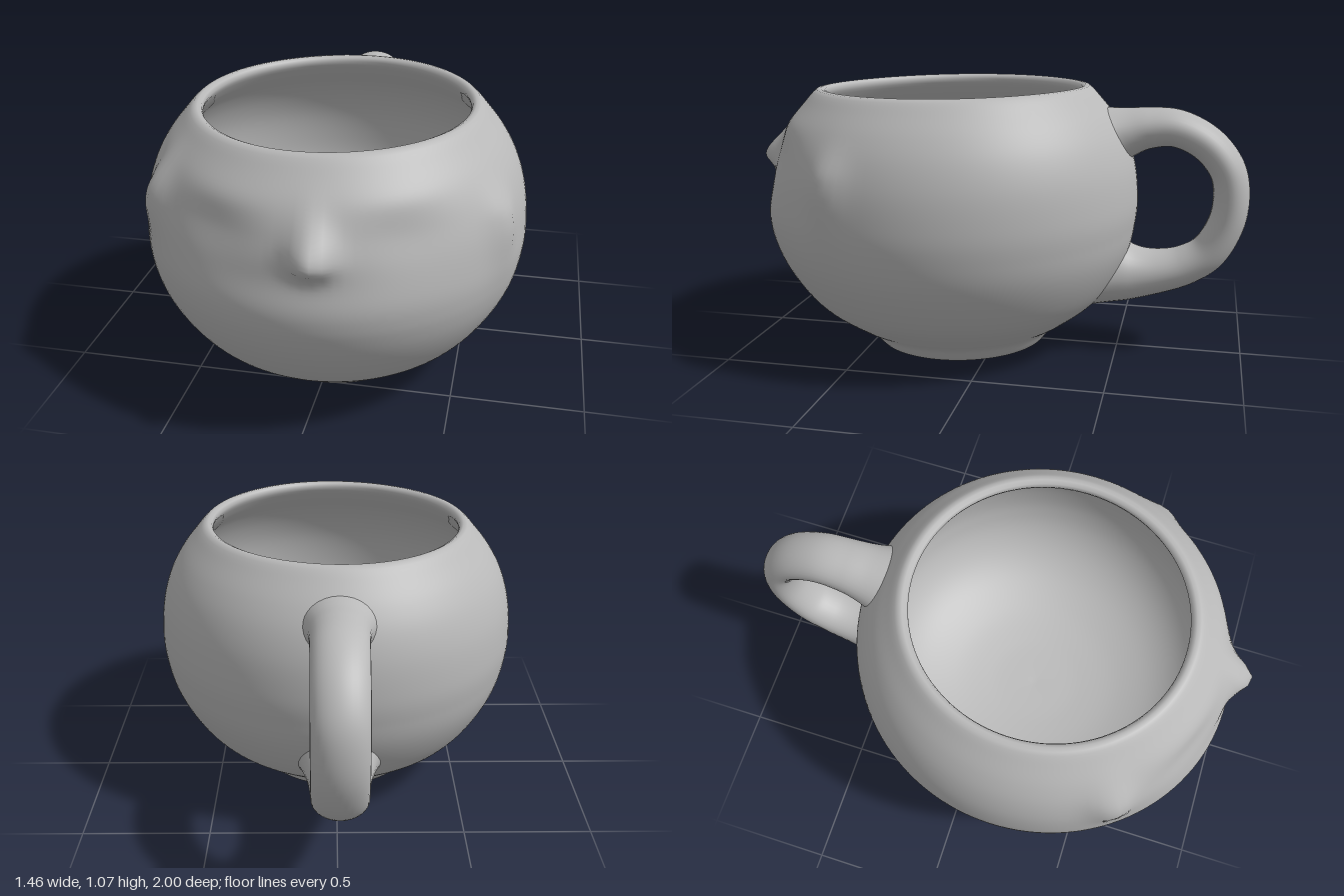
import * as THREE from 'three';
import { mergeVertices } from 'three/addons/utils/BufferGeometryUtils.js';

const clay = new THREE.MeshStandardMaterial({ color: 0xb9b9b9 });
clay.name = 'grey clay';

// Smooth curve through a few pairs, in the xy or the zy plane
const curveXY = pts => new THREE.CatmullRomCurve3(pts.map(([x, y]) => new THREE.Vector3(x, y, 0)), false, 'centripetal');
const curveZY = pts => new THREE.CatmullRomCurve3(pts.map(([z, y]) => new THREE.Vector3(0, y, z)), false, 'centripetal');

// Weld the seam and recompute smooth normals
function smooth(geometry) {
  geometry.deleteAttribute('uv');
  geometry.deleteAttribute('normal');
  const welded = mergeVertices(geometry, 1e-5);
  welded.computeVertexNormals();
  return welded;
}

// Bumps and dents of the face: angle from the front, height, depth,
// angular spread, spread below and spread above
const faceFeatures = [
  [0.09, 0.775, 0.07, 0.07, 0.04, 0.055],   // nose
  [0.08, 0.86, 0.02, 0.05, 0.06, 0.05],     // nose bridge
  [-0.42, 0.81, -0.022, 0.2, 0.08, 0.06],   // eye sockets
  [0.52, 0.81, -0.022, 0.2, 0.08, 0.06],
  [-0.4, 0.93, 0.006, 0.22, 0.03, 0.03],    // brows
  [0.5, 0.93, 0.006, 0.22, 0.03, 0.03],
  [-0.95, 0.83, 0.04, 0.08, 0.09, 0.07],    // temples
  [1.14, 0.79, 0.03, 0.08, 0.12, 0.06],
  [0.0, 0.68, -0.009, 0.4, 0.05, 0.05],     // upper lip hollow
  [0.0, 0.55, 0.005, 0.45, 0.08, 0.07],     // chin
];

function faceOffset(angle, y) {
  let sum = 0;
  for (const [a, h, depth, spread, below, above] of faceFeatures) {
    const u = (angle - a) / spread;
    const v = (y - h) / (y < h ? below : above);
    sum += depth * Math.exp(-(u * u + v * v) / 2);
  }
  return sum;
}

// Hollow bowl: underside, outer wall, rounded lip, thin inner wall, shallow floor
function createBody() {
  const profile = curveXY([
    [0, 0.02], [0.2, 0.017], [0.3, 0.012], [0.335, 0.007], [0.352, 0.024], [0.38, 0.06],
    [0.47, 0.12], [0.57, 0.2], [0.645, 0.3], [0.702, 0.42], [0.728, 0.55],
    [0.728, 0.65], [0.713, 0.76], [0.68, 0.86], [0.635, 0.94], [0.58, 1.01],
    [0.542, 1.053], [0.525, 1.064], [0.505, 1.059], [0.497, 1.042],
    [0.528, 0.99], [0.59, 0.915], [0.635, 0.84], [0.668, 0.75], [0.683, 0.64], [0.68, 0.53],
    [0.65, 0.42], [0.59, 0.325], [0.5, 0.25], [0.36, 0.19], [0.2, 0.16], [0, 0.15],
  ]);
  const outerEnd = 0.53; // only the outer wall takes the face relief
  const rows = 190;
  const geometry = new THREE.LatheGeometry(profile.getSpacedPoints(rows), 128);
  const pos = geometry.attributes.position;
  for (let i = 0; i < pos.count; i++) {
    let x = pos.getX(i), y = pos.getY(i), z = pos.getZ(i);
    const r = Math.hypot(x, z);
    if ((i % (rows + 1)) / rows < outerEnd && r > 0.4) {
      const k = 1 + faceOffset(Math.atan2(x, z), y) / r;
      x *= k;
      z *= k;
    }
    // Slightly deeper than wide, leaning back a little
    const centre = 0.16 + 0.03 * Math.min(1, y / 0.5);
    pos.setXYZ(i, x, y - 0.016 * z + 0.003 * Math.sin(x * 5) * y, z * 1.035 + centre);
  }
  const mesh = new THREE.Mesh(smooth(geometry), clay);
  mesh.name = 'bowl';
  return mesh;
}

// Depth just under the back of the bowl, for seating the handle
function backWall(x, y) {
  const r2 = 0.53 * (1 - ((y - 0.6) / 0.62) ** 2);
  return 0.205 - 1.035 * Math.sqrt(Math.max(0.05, r2 - x * x));
}

// Looped handle, wider than thick, its flared ends following the bowl
function createHandle() {
  const path = curveZY([
    [-0.44, 0.875], [-0.51, 0.893], [-0.6, 0.912], [-0.71, 0.913], [-0.83, 0.855], [-0.91, 0.755],
    [-0.93, 0.65], [-0.915, 0.54], [-0.85, 0.42], [-0.76, 0.36], [-0.66, 0.33],
    [-0.55, 0.318], [-0.44, 0.325],
  ]);
  const rings = 100, sides = 32;
  const geometry = new THREE.TubeGeometry(path, rings, 0.07, sides);
  const pos = geometry.attributes.position;
  const p = new THREE.Vector3(), c = new THREE.Vector3();
  for (let i = 0; i < pos.count; i++) {
    const t = Math.floor(i / (sides + 1)) / rings;
    const end = Math.min(t, 1 - t);
    path.getPointAt(t, c);
    const flare = 1 + 0.8 * Math.exp(-t * 13) + 1.3 * Math.exp(-(1 - t) * 9.5);
    const fillet = Math.exp(-end * 28);
    p.fromBufferAttribute(pos, i).sub(c).multiplyScalar(flare);
    p.x *= (1.42 + 0.5 * fillet) / Math.sqrt(flare);
    if ((p.y < 0) === (t < 0.5)) p.y *= 1 + 0.5 * fillet; // inside of the loop
    p.add(c);
    const seat = Math.max(0, 1 - end / 0.08) ** 2;
    p.z += seat * (backWall(p.x, p.y) - p.z);
    pos.setXYZ(i, p.x - 0.008, p.y, p.z);
  }
  const mesh = new THREE.Mesh(smooth(geometry), clay);
  mesh.name = 'handle';
  return mesh;
}

export function createModel() {
  const model = new THREE.Group();
  model.name = 'face mug';
  model.add(createBody(), createHandle());
  return model;
}
